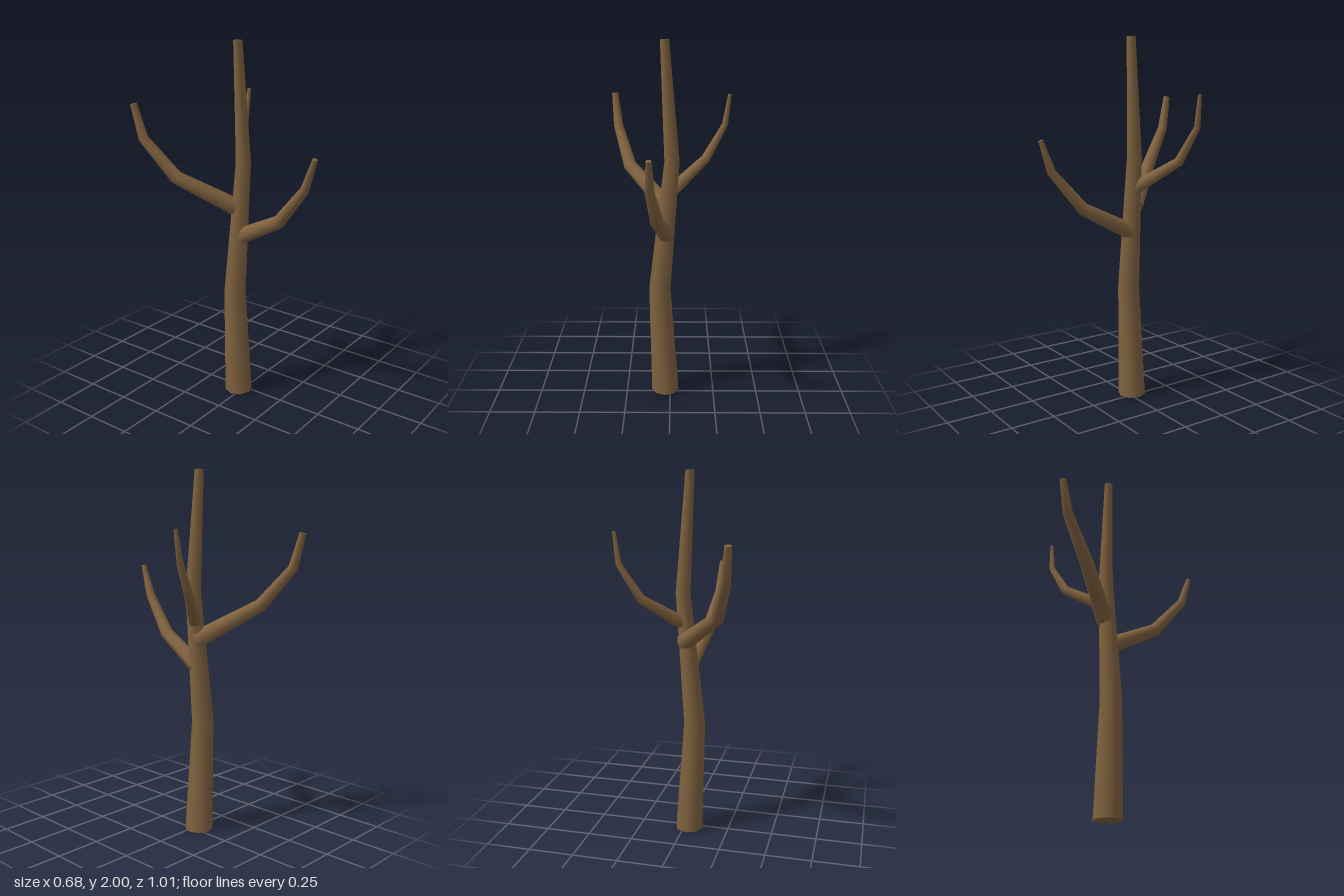
import * as THREE from 'three';

const SIDES = 8;
const UP = new THREE.Vector3(0, 1, 0);
const bark = new THREE.MeshStandardMaterial({ color: 0x80623f });
const green = new THREE.MeshStandardMaterial({ color: 0x2f6b3f });

// Tapered limb through stations [x, y, z, radius]; level ends stay horizontal
function limb(name, stations, levelEnds, tipMaterial) {
  const group = new THREE.Group();
  group.name = name;
  const centres = stations.map(([x, y, z]) => new THREE.Vector3(x, y, z));
  const last = centres.length - 1;
  const direction = (i) => centres[i + 1].clone().sub(centres[i]).normalize();
  const turns = centres.map((c, i) => {
    const end = i === 0 || i === last;
    const tangent = end && levelEnds ? UP.clone()
      : direction(Math.max(i - 1, 0)).add(direction(Math.min(i, last - 1))).normalize();
    return new THREE.Quaternion().setFromUnitVectors(UP, tangent);
  });

  // Side wall: one ring per station, joined by quads
  const positions = [], index = [];
  centres.forEach((c, i) => {
    for (let j = 0; j < SIDES; j++) {
      const a = (j / SIDES) * Math.PI * 2, r = stations[i][3];
      const p = new THREE.Vector3(Math.cos(a) * r, 0, -Math.sin(a) * r);
      positions.push(...p.applyQuaternion(turns[i]).add(c).toArray());
      if (i < last) {
        const k = (j + 1) % SIDES, lo = i * SIDES, hi = lo + SIDES;
        index.push(lo + j, lo + k, hi + j, lo + k, hi + k, hi + j);
      }
    }
  });
  const wall = new THREE.BufferGeometry();
  wall.setAttribute('position', new THREE.Float32BufferAttribute(positions, 3));
  wall.setIndex(index);
  wall.computeVertexNormals();
  const wallMesh = new THREE.Mesh(wall, bark);
  wallMesh.name = name + 'Wall';
  group.add(wallMesh);

  // Flat end caps
  for (const [i, label, turn, material] of [
    [0, 'Base', Math.PI / 2, bark],
    [last, 'Tip', -Math.PI / 2, tipMaterial],
  ]) {
    const geometry = new THREE.CircleGeometry(stations[i][3], SIDES).rotateX(turn);
    const cap = new THREE.Mesh(geometry, material);
    cap.name = name + label;
    cap.quaternion.copy(turns[i]);
    cap.position.copy(centres[i]);
    group.add(cap);
  }
  return group;
}

export function createModel() {
  const tree = new THREE.Group();
  tree.name = 'bareTree';

  // Trunk with two gentle bends and a green cut top
  tree.add(limb('trunk', [
    [-0.028, 0, -0.025, 0.077],
    [-0.058, 0.63, -0.025, 0.06],
    [0.01, 1.36, -0.016, 0.041],
    [-0.029, 2, -0.022, 0.024],
  ], true, green));

  // Three upward-curving branches
  tree.add(limb('frontBranch', [
    [-0.02, 0.945, -0.02, 0.046],
    [-0.063, 1.095, 0.265, 0.036],
    [-0.096, 1.3, 0.435, 0.025],
    [-0.099, 1.468, 0.493, 0.014],
  ], false, bark));
  tree.add(limb('backRightBranch', [
    [-0.005, 1.095, -0.025, 0.05],
    [-0.232, 1.285, -0.285, 0.037],
    [-0.305, 1.49, -0.442, 0.027],
    [-0.324, 1.672, -0.485, 0.018],
  ], false, bark));
  tree.add(limb('backLeftBranch', [
    [0.0, 1.19, -0.02, 0.037],
    [0.197, 1.345, -0.175, 0.026],
    [0.303, 1.53, -0.21, 0.017],
    [0.327, 1.698, -0.204, 0.01],
  ], false, bark));

  return tree;
}
